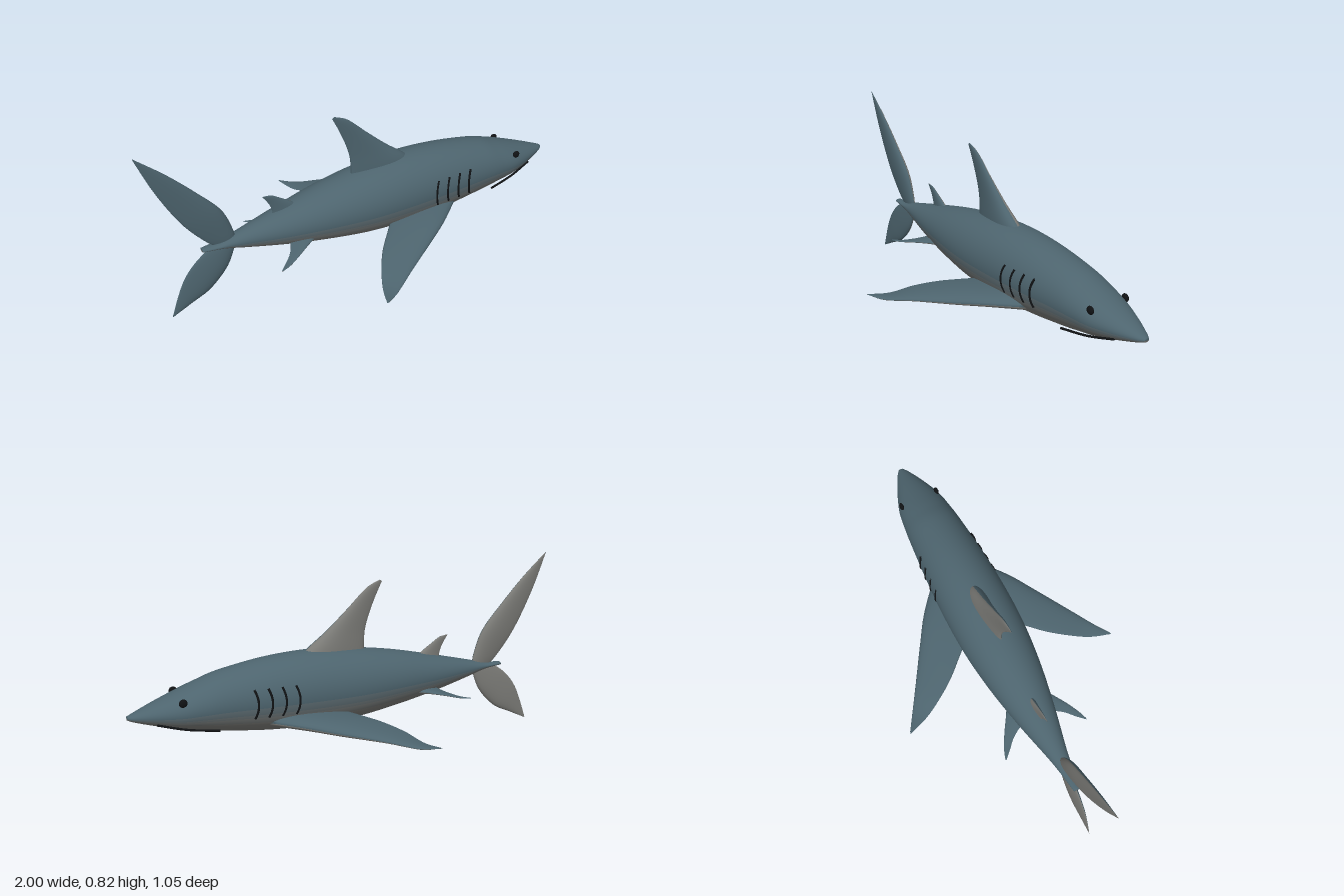
import * as THREE from 'three';

const mat = (color) => new THREE.MeshStandardMaterial({ color, side: THREE.DoubleSide });
const BACK = new THREE.Color(0x4d646e), BELLY = new THREE.Color(0x7b7b77);
// shades from the dark back to the pale belly
const shades = [0, 0.25, 0.5, 0.75, 1].map((t) => mat(BACK.clone().lerp(BELLY, t)));
const black = mat(0x101214);

const curve = (pts) => new THREE.CatmullRomCurve3(pts.map((p) => new THREE.Vector3(p[0], p[1], p[2] || 0)), false, 'catmullrom', 0.5);

// Skins closed rings into one smooth surface, with one mesh per shade
function loft(name, rings, shadeOf) {
  const n = rings[0].length, last = (rings.length - 1) * n;
  const tris = [];
  for (let r = 0; r < rings.length - 1; r++) {
    for (let k = 0; k < n; k++) {
      const a = r * n + k, b = r * n + ((k + 1) % n);
      tris.push([k, a, b, b + n], [k, a, b + n, a + n]);
    }
  }
  for (let k = 1; k < n - 1; k++) tris.push([k, 0, k + 1, k], [k, last, last + k, last + k + 1]);

  // turn all faces outward
  const pts = rings.flat();
  let volume = 0;
  for (const [, a, b, c] of tris) volume += pts[a].dot(pts[b].clone().cross(pts[c]));
  if (volume < 0) for (const t of tris) [t[2], t[3]] = [t[3], t[2]];

  const whole = new THREE.BufferGeometry().setFromPoints(pts);
  whole.setIndex(tris.flatMap((t) => t.slice(1)));
  whole.computeVertexNormals();

  const group = new THREE.Group();
  group.name = name;
  shades.forEach((shade, i) => {
    const index = tris.filter((t) => shadeOf(t[0], n) === i).flatMap((t) => t.slice(1));
    if (!index.length) return;
    const g = new THREE.BufferGeometry();
    g.setAttribute('position', whole.attributes.position);
    g.setAttribute('normal', whole.attributes.normal);
    g.setIndex(index);
    const mesh = new THREE.Mesh(g, shade);
    mesh.name = name + 'Skin' + i;
    group.add(mesh);
  });
  return group;
}

// Fin: airfoil sections between a leading and a trailing edge
function fin(name, lead, trail, normal, thickness) {
  const L = curve(lead), T = curve(trail), rings = [], steps = 24, n = 24;
  for (let i = 0; i <= steps; i++) {
    const a = L.getPoint(i / steps), b = T.getPoint(i / steps), chord = a.distanceTo(b);
    const ring = [];
    for (let k = 0; k < n; k++) {
      const ang = (k / n) * Math.PI * 2, c = (1 - Math.cos(ang)) / 2;
      const h = thickness * chord * Math.sin(ang) * (1.35 - 0.8 * c);
      ring.push(a.clone().lerp(b, c).addScaledVector(normal, h));
    }
    rings.push(ring);
  }
  return loft(name, rings, (k, m) => (k < m / 2 ? 0 : 4));
}

// Body stations: x, top, bottom, half width
const stations = [
  [1, 0.29, 0.274, 0.012], [0.97, 0.302, 0.262, 0.032], [0.89, 0.334, 0.238, 0.07],
  [0.79, 0.372, 0.212, 0.106], [0.7, 0.405, 0.194, 0.121], [0.6, 0.436, 0.176, 0.132],
  [0.4, 0.469, 0.15, 0.148], [0.2, 0.479, 0.141, 0.156], [0, 0.465, 0.15, 0.151],
  [-0.2, 0.434, 0.178, 0.128], [-0.4, 0.388, 0.215, 0.09], [-0.58, 0.343, 0.257, 0.048],
  [-0.65, 0.325, 0.277, 0.034], [-0.7, 0.314, 0.288, 0.026], [-0.77, 0.309, 0.294, 0.016],
];

function body() {
  const mid = curve(stations.map(([x, t, b]) => [x, (t + b) / 2]));
  const size = curve(stations.map(([, t, b, w]) => [(t - b) / 2, w]));
  const rings = [], steps = 84, n = 64;
  for (let i = 0; i <= steps; i++) {
    const m = mid.getPoint(i / steps), s = size.getPoint(i / steps);
    rings.push(Array.from({ length: n }, (_, k) => {
      const a = (k / n) * Math.PI * 2;
      return new THREE.Vector3(m.x, m.y + s.x * Math.sin(a), s.y * Math.cos(a));
    }));
  }
  return loft('body', rings, (k, m) => {
    const h = Math.sin(((k + 0.5) / m) * Math.PI * 2);
    return THREE.MathUtils.clamp(Math.ceil((-h - 0.1) / 0.15), 0, 4);
  });
}

function tube(name, pts, radius) {
  const mesh = new THREE.Mesh(new THREE.TubeGeometry(curve(pts), 16, radius, 8), black);
  mesh.name = name;
  return mesh;
}

export function createModel() {
  const model = new THREE.Group();
  model.name = 'shark';
  const Y = new THREE.Vector3(0, 1, 0), Z = new THREE.Vector3(0, 0, 1);
  model.add(body());

  // upright fins
  model.add(fin('dorsalFin',
    [[0.25, 0.43], [0.215, 0.48], [0.12, 0.555], [0.02, 0.645], [-0.07, 0.73], [-0.135, 0.762]],
    [[-0.06, 0.43], [-0.06, 0.48], [-0.065, 0.545], [-0.085, 0.615], [-0.115, 0.69], [-0.146, 0.755]], Z, 0.125));
  model.add(fin('secondDorsalFin',
    [[-0.31, 0.375], [-0.35, 0.408], [-0.4, 0.442], [-0.44, 0.467], [-0.475, 0.474]],
    [[-0.44, 0.365], [-0.442, 0.39], [-0.452, 0.42], [-0.465, 0.445], [-0.483, 0.472]], Z, 0.12));
  model.add(fin('upperTailLobe',
    [[-0.62, 0.3], [-0.626, 0.36], [-0.67, 0.475], [-0.77, 0.595], [-0.88, 0.712], [-0.998, 0.82]],
    [[-0.71, 0.3], [-0.755, 0.345], [-0.825, 0.435], [-0.885, 0.54], [-0.945, 0.67], [-1, 0.818]], Z, 0.12));
  model.add(fin('lowerTailLobe',
    [[-0.62, 0.305], [-0.632, 0.25], [-0.67, 0.172], [-0.75, 0.09], [-0.84, 0.045], [-0.928, 0.002]],
    [[-0.72, 0.305], [-0.765, 0.28], [-0.815, 0.238], [-0.86, 0.18], [-0.895, 0.105], [-0.931, 0.005]], Z, 0.11));

  // paired parts
  for (const [side, s] of [['left', -1], ['right', 1]]) {
    const flip = (pts) => pts.map(([x, y, z]) => [x, y, z * s]);
    model.add(fin(side + 'PectoralFin',
      flip([[0.43, 0.215, 0.11], [0.3, 0.207, 0.22], [0.18, 0.19, 0.3], [0.02, 0.168, 0.402], [-0.1, 0.147, 0.48], [-0.17, 0.155, 0.523]]),
      flip([[0.1, 0.222, 0.09], [0.03, 0.21, 0.17], [-0.04, 0.195, 0.25], [-0.1, 0.175, 0.34], [-0.145, 0.15, 0.43], [-0.18, 0.156, 0.525]]), Y, 0.09));
    model.add(fin(side + 'PelvicFin',
      flip([[-0.25, 0.25, 0.07], [-0.32, 0.246, 0.11], [-0.39, 0.238, 0.155], [-0.45, 0.228, 0.188], [-0.495, 0.225, 0.205]]),
      flip([[-0.39, 0.25, 0.05], [-0.405, 0.244, 0.09], [-0.43, 0.236, 0.13], [-0.465, 0.227, 0.165], [-0.502, 0.226, 0.203]]), Y, 0.1));

    const eye = new THREE.Mesh(new THREE.SphereGeometry(1, 20, 14), black);
    eye.name = side + 'Eye';
    eye.scale.set(0.018, 0.018, 0.01);
    eye.position.set(0.785, 0.345, 0.091 * s);
    model.add(eye);

    model.add(tube(side + 'Mouth', flip([[0.64, 0.212, 0.11], [0.77, 0.228, 0.088], [0.89, 0.256, 0.06]]), 0.005));

    // gill slits follow the flank
    for (let i = 0; i < 4; i++) {
      const pts = [];
      for (let j = -3; j <= 3; j++) {
        const x = 0.3 + i * 0.06 + 0.0016 * j * j, y = 0.313 + j * 0.021;
        pts.push([x, y, s * (0.169 - 0.055 * x) * Math.sqrt(1 - ((y - 0.31) / 0.165) ** 2)]);
      }
      model.add(tube(side + 'Gill' + (i + 1), pts, 0.005));
    }
  }
  return model;
}
